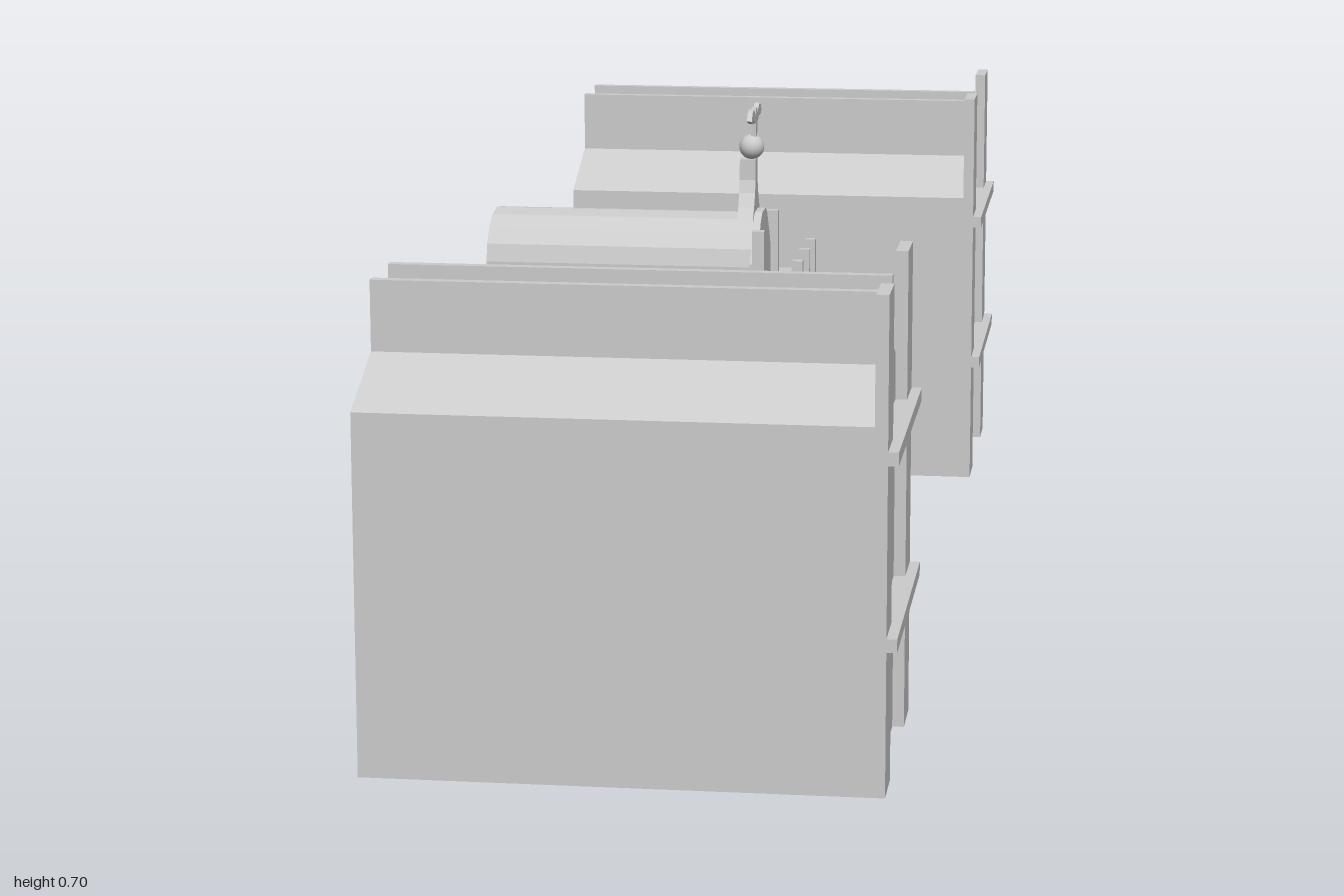
import * as THREE from 'three';

const mat = new THREE.MeshStandardMaterial({ color: 0xcccccc, flatShading: true, side: THREE.DoubleSide });
const smooth = new THREE.MeshStandardMaterial({ color: 0xcccccc });

function add(parent, name, geometry, material = mat) {
  const mesh = new THREE.Mesh(geometry, material);
  mesh.name = name;
  parent.add(mesh);
  return mesh;
}

// Box given by its limits on each axis
function box(parent, name, x0, x1, y0, y1, z0, z1) {
  const mesh = add(parent, name, new THREE.BoxGeometry(x1 - x0, y1 - y0, z1 - z0));
  mesh.position.set((x0 + x1) / 2, (y0 + y1) / 2, (z0 + z1) / 2);
}

// Outline in (z, y) as a shape whose depth will run along +x
const outline = pts => new THREE.Shape(pts.map(([z, y]) => new THREE.Vector2(-z, y)));

function slab(parent, name, shape, x0, x1) {
  const geo = new THREE.ExtrudeGeometry(shape, { depth: x1 - x0, bevelEnabled: false, curveSegments: 6 });
  geo.rotateY(Math.PI / 2);
  geo.translate(x0, 0, 0);
  return add(parent, name, geo);
}

// Thin shell: a (z, y) profile swept along x, open at both ends
function shell(parent, name, profile, x0, x1) {
  const pos = [];
  for (let i = 0; i < profile.length - 1; i++) {
    const [az, ay] = profile[i], [bz, by] = profile[i + 1];
    pos.push(x0, ay, az, x1, ay, az, x1, by, bz, x0, ay, az, x1, by, bz, x0, by, bz);
  }
  const geo = new THREE.BufferGeometry();
  geo.setAttribute('position', new THREE.Float32BufferAttribute(pos, 3));
  geo.computeVertexNormals();
  add(parent, name, geo);
}

// Flat wall facing +x
function wall(parent, name, shape, x) {
  const geo = new THREE.ShapeGeometry(shape);
  geo.rotateY(Math.PI / 2);
  geo.translate(x, 0, 0);
  add(parent, name, geo);
}

function floor(parent, name, x0, x1, z0, z1) {
  const geo = new THREE.PlaneGeometry(x1 - x0, z1 - z0);
  geo.rotateX(-Math.PI / 2);
  geo.translate((x0 + x1) / 2, 0, (z0 + z1) / 2);
  add(parent, name, geo);
}

function createWing(side) {
  const wing = new THREE.Group();
  wing.name = side > 0 ? 'leftWing' : 'rightWing';
  // Half profile: wall, sloped roof, parapet, shallow vault
  const half = [[0.18, 0], [0.18, 0.46], [0.06, 0.51], [0.06, 0.6], [0.046, 0.6], [0.046, 0.565], [0.025, 0.573]];
  const profile = [...half, [0, 0.576], ...half.slice().reverse().map(([z, y]) => [-z, y])];
  shell(wing, 'wallsAndRoof', profile, -0.33, 0.305);
  wall(wing, 'frontWall', outline(profile), 0.305);
  floor(wing, 'wingFloor', -0.33, 0.305, -0.18, 0.18);
  for (const s of [-1, 1]) {
    const a = s * 0.18, b = s * 0.108;
    box(wing, 'cornerPier', 0.304, 0.32, 0, 0.62, Math.min(a, b), Math.max(a, b));
  }
  for (const y of [0.183, 0.413]) box(wing, 'cornice', 0.304, 0.333, y, y + 0.017, -0.18, 0.18);
  wing.position.z = side * 0.82;
  return wing;
}

function createCentre() {
  const g = new THREE.Group();
  g.name = 'centralRange';
  const L = 0.64;
  floor(g, 'centreFloor', -0.33, 0.055, -L, L);
  shell(g, 'flatRoof', [[-L, 0.34], [L, 0.34]], -0.335, 0.055);

  // Facade with raised gable and round window
  const facade = outline([[-L, 0], [L, 0], [L, 0.34], [0.083, 0.34], [0.083, 0.48], [0.07, 0.5], [0.04, 0.535], [0.02, 0.545],
    [-0.02, 0.545], [-0.04, 0.535], [-0.07, 0.5], [-0.083, 0.48], [-0.083, 0.34], [-L, 0.34]]);
  const hole = new THREE.Path();
  hole.absarc(0, 0.415, 0.04, 0, Math.PI * 2, true);
  facade.holes.push(hole);
  slab(g, 'facade', facade, 0.045, 0.056);

  // Posts, taller toward the gable
  const posts = [[0.09, 0.53], [0.15, 0.42], [0.235, 0.39], [0.337, 0.39], [0.438, 0.39], [0.54, 0.39], [0.632, 0.39]];
  for (const s of [-1, 1]) {
    for (const [z, h] of posts) box(g, 'facadePost', 0.05, 0.067, 0, h, s * z - 0.007, s * z + 0.007);
  }

  // String course stepping up below the gable
  const low = 0.187, high = 0.203, t = 0.014;
  const line = [[-L, low], [-0.125, low], [-0.07, high], [0.07, high], [0.125, low], [L, low]];
  slab(g, 'stringCourse', outline([...line, ...line.slice().reverse().map(([z, y]) => [z, y + t])]), 0.05, 0.068);

  // Barrel-roofed dormer running back from the gable
  const vault = [[-0.095, 0.34]];
  for (let i = 0; i <= 8; i++) {
    const a = Math.PI * (1 - i / 8);
    vault.push([-0.0075 + 0.0875 * Math.cos(a), 0.475 + 0.065 * Math.sin(a)]);
  }
  vault.push([0.08, 0.34]);
  shell(g, 'barrelDormer', vault, -0.337, 0.046);
  return g;
}

function createFinial() {
  const g = new THREE.Group();
  g.name = 'finial';
  const half = [[0.045, 0.535], [0.03, 0.553], [0.018, 0.572], [0.012, 0.59], [0.012, 0.62]];
  slab(g, 'flaredPedestal', outline([...half, ...half.slice().reverse().map(([z, y]) => [-z, y])]), 0.022, 0.045);
  add(g, 'ball', new THREE.SphereGeometry(0.018, 20, 14), smooth).position.set(0.038, 0.637, 0);
  // Bird with spread wings
  const wing = [[0.007, 0.65], [0.008, 0.672], [0.022, 0.674], [0.034, 0.681], [0.046, 0.677], [0.06, 0.682],
    [0.05, 0.692], [0.035, 0.696], [0.02, 0.69], [0.009, 0.684], [0.006, 0.694]];
  slab(g, 'bird', outline([...wing, ...wing.slice().reverse().map(([z, y]) => [-z, y])]), 0.038, 0.045);
  return g;
}

export function createModel() {
  const model = new THREE.Group();
  model.name = 'building';
  model.add(createWing(1), createWing(-1), createCentre(), createFinial());
  return model;
}
